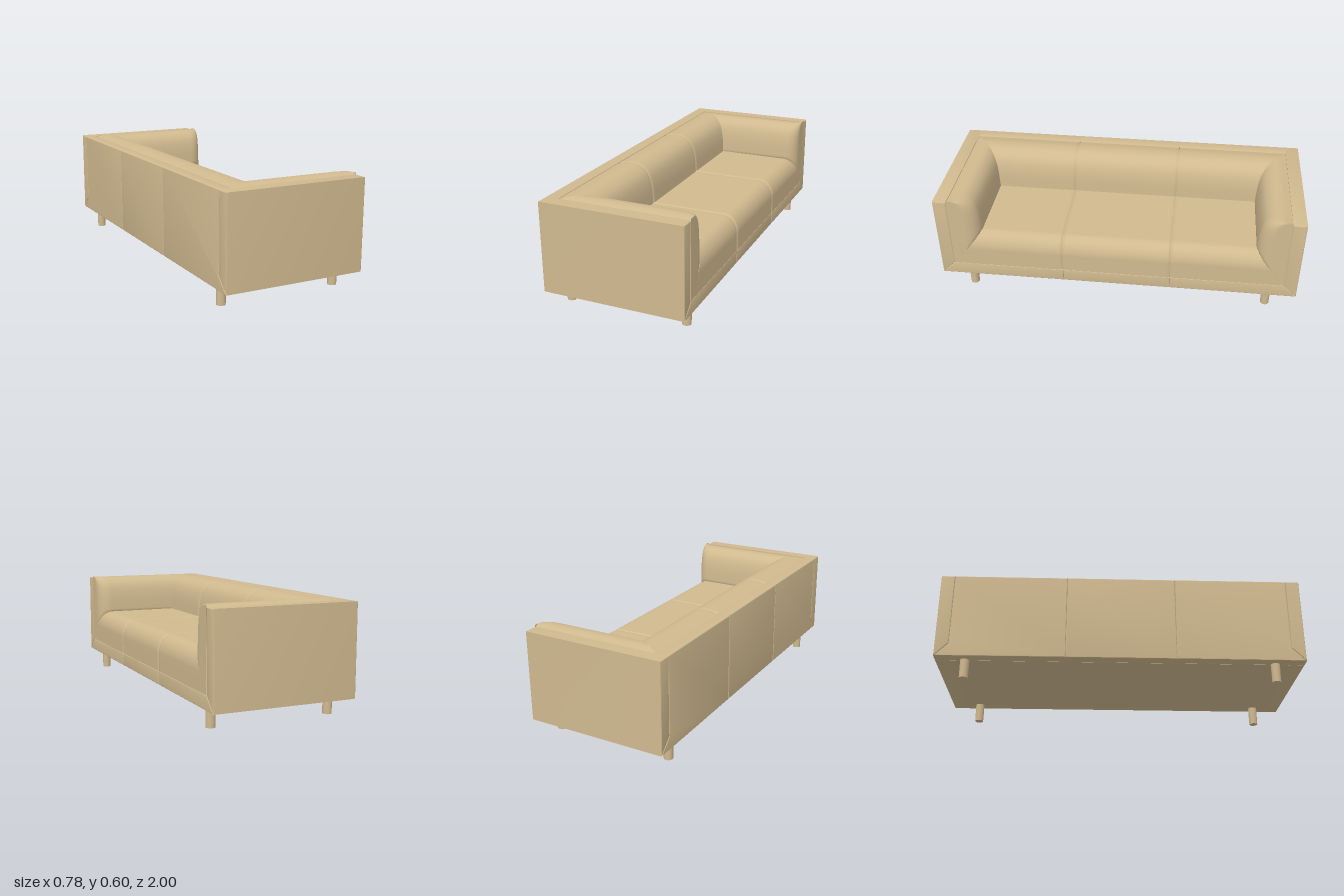
import * as THREE from 'three';
import { toCreasedNormals } from 'three/addons/utils/BufferGeometryUtils.js';

const fabric = new THREE.MeshStandardMaterial({ color: 0xd0b98f, side: THREE.DoubleSide });

// Key dimensions: the sofa faces +x and its length runs along z
const FRONT = 0.39, BACK = -0.39, BACK_IN = -0.32;
const ARM_IN = 0.925, BOTTOM = 0.105, RAIL = 0.18, TOP = 0.593;
const SEAT = 0.38, SEAM = 0.3, ARM_D = 0.165, BACK_D = 0.21;

export function createModel() {
  const group = new THREE.Group();

  const add = (name, geometry) => {
    const mesh = new THREE.Mesh(geometry, fabric);
    mesh.name = name;
    group.add(mesh);
    return mesh;
  };

  // Upholstered slab: outline in (z, y), extruded from x0 to x1 with a soft edge
  const slab = (name, outline, x0, x1, b = 0.006) => {
    const shape = new THREE.Shape(outline.map(([z, y]) => new THREE.Vector2(-z, y)));
    const g = new THREE.ExtrudeGeometry(shape, {
      depth: x1 - x0 - 2 * b, bevelThickness: b, bevelSize: b, bevelOffset: -b, bevelSegments: 3,
    });
    g.rotateY(Math.PI / 2).translate(x0 + b, 0, 0);
    add(name, toCreasedNormals(g, 0.3));
  };

  // Smooth skin through equal-length rows of [x, y, z] points
  const skin = (name, rows) => {
    const n = rows[0].length, index = [];
    for (let i = 0; i < rows.length - 1; i++) {
      for (let j = 0; j < n - 1; j++) {
        const a = i * n + j, b = a + n;
        index.push(a, b, a + 1, b, b + 1, a + 1);
      }
    }
    const g = new THREE.BufferGeometry();
    g.setAttribute('position', new THREE.Float32BufferAttribute(rows.flat(2), 3));
    g.setIndex(index);
    g.computeVertexNormals();
    add(name, g);
  };

  // Shell: arm panels, back panel and base rail, mitred at the lower corners
  for (const s of [1, -1]) {
    const side = (pts) => pts.map(([z, y]) => [z * s, y]);
    slab('armPanel', side([[1, BOTTOM], [1, TOP], [ARM_IN, TOP], [ARM_IN, RAIL]]), BACK, FRONT);
    slab('backPanelEnd', side([[SEAM, BOTTOM], [1, BOTTOM], [ARM_IN, RAIL], [ARM_IN, TOP], [SEAM, TOP]]), BACK, BACK_IN);
    slab('baseEnd', side([[SEAM, BOTTOM], [1, BOTTOM], [ARM_IN, RAIL], [SEAM, RAIL]]), BACK_IN, FRONT);
  }
  const middle = (top) => [[-SEAM, BOTTOM], [SEAM, BOTTOM], [SEAM, top], [-SEAM, top]];
  slab('backPanelMiddle', middle(TOP), BACK, BACK_IN);
  slab('baseMiddle', middle(RAIL), BACK_IN, FRONT);
  const under = new THREE.BoxGeometry(0.66, 0.01, 1.84);
  add('undersidePanel', under).position.set(0, BOTTOM + 0.004, 0);

  // Shared roll profile: depth as a fraction (0..1) and height, from panel to seat
  const roll = new THREE.SplineCurve([
    [0, 0.588], [0.3, 0.601], [0.6, 0.593], [0.84, 0.553], [0.96, 0.48], [1, SEAT],
  ].map((p) => new THREE.Vector2(...p))).getPoints(24).map((p) => [p.x, p.y]);

  // Stations along z, bunched around the stitched seams
  const half = [0.7, 0.5, 0.36, 0.33, 0.318, 0.31, 0.305, 0.3, 0.295, 0.29, 0.282, 0.27, 0.24, 0.12];
  const stations = [...half.map((z) => -z), 0, ...half.slice().reverse()];
  const groove = (z) => 0.007 * Math.exp(-(((Math.abs(z) - SEAM) / 0.007) ** 2));

  // Back cushion, mitred into the arms at both ends
  const backRow = (z) => roll.map(([d, y]) =>
    [BACK_IN + d * BACK_D - groove(z) * d, y - groove(z) * (1 - d), z]);
  const backEnd = (s) => roll.map(([d, y]) => [BACK_IN + d * BACK_D, y, s * (ARM_IN - d * ARM_D)]);
  skin('backCushion', [backEnd(-1), ...stations.map(backRow), backEnd(1)]);

  // Seat cushion with a rounded front edge, mitred into the arms
  const seat = [[-0.15, SEAT], [0.05, SEAT], [0.2, SEAT]];
  for (let i = 0; i <= 12; i++) {
    const a = (i / 12) * Math.PI / 2;
    seat.push([0.31 + 0.08 * Math.sin(a), 0.28 + 0.1 * Math.cos(a)]);
  }
  seat.push([FRONT, 0.23], [FRONT, RAIL]);
  const seatRow = (z) => seat.map(([x, y]) =>
    [x - (x > 0.31 ? groove(z) : 0), y - (y > 0.28 ? groove(z) : 0), z]);
  const seatEnd = (s) => seat.map(([x, y]) =>
    [x, y, s * (ARM_IN - ARM_D * (y - RAIL) / (SEAT - RAIL))]);
  skin('seatCushion', [seatEnd(-1), ...stations.map(seatRow), seatEnd(1)]);

  // Arm cushions: roll profile plus a sloping mitre below seat height
  const armProfile = [...roll];
  for (let i = 1; i <= 12; i++) armProfile.push([1 - i / 12, SEAT - (SEAT - RAIL) * i / 12]);
  for (const s of [1, -1]) {
    const section = (x, k) => armProfile.map(([d, y]) =>
      [x, y, s * (ARM_IN - ARM_D * (y < SEAT ? Math.min(d, k) : d * k))]);
    const rows = [armProfile.map(([d, y]) => [BACK_IN + d * BACK_D, y, s * (ARM_IN - d * ARM_D)])];
    for (const x of [-0.1, 0.05, 0.2]) rows.push(section(x, 1));
    for (let i = 0; i <= 12; i++) {
      const a = (i / 12) * Math.PI / 2;
      rows.push(section(0.31 + 0.08 * Math.sin(a), 0.5 + 0.5 * Math.cos(a)));
    }
    rows.push(section(FRONT, 0.25), section(FRONT, 0));
    skin('armCushion', rows);
  }

  // Legs
  for (const x of [-0.33, 0.33]) {
    for (const z of [-0.84, 0.84]) {
      add('leg', new THREE.CylinderGeometry(0.025, 0.024, 0.11, 24)).position.set(x, 0.055, z);
    }
  }
  return group;
}
